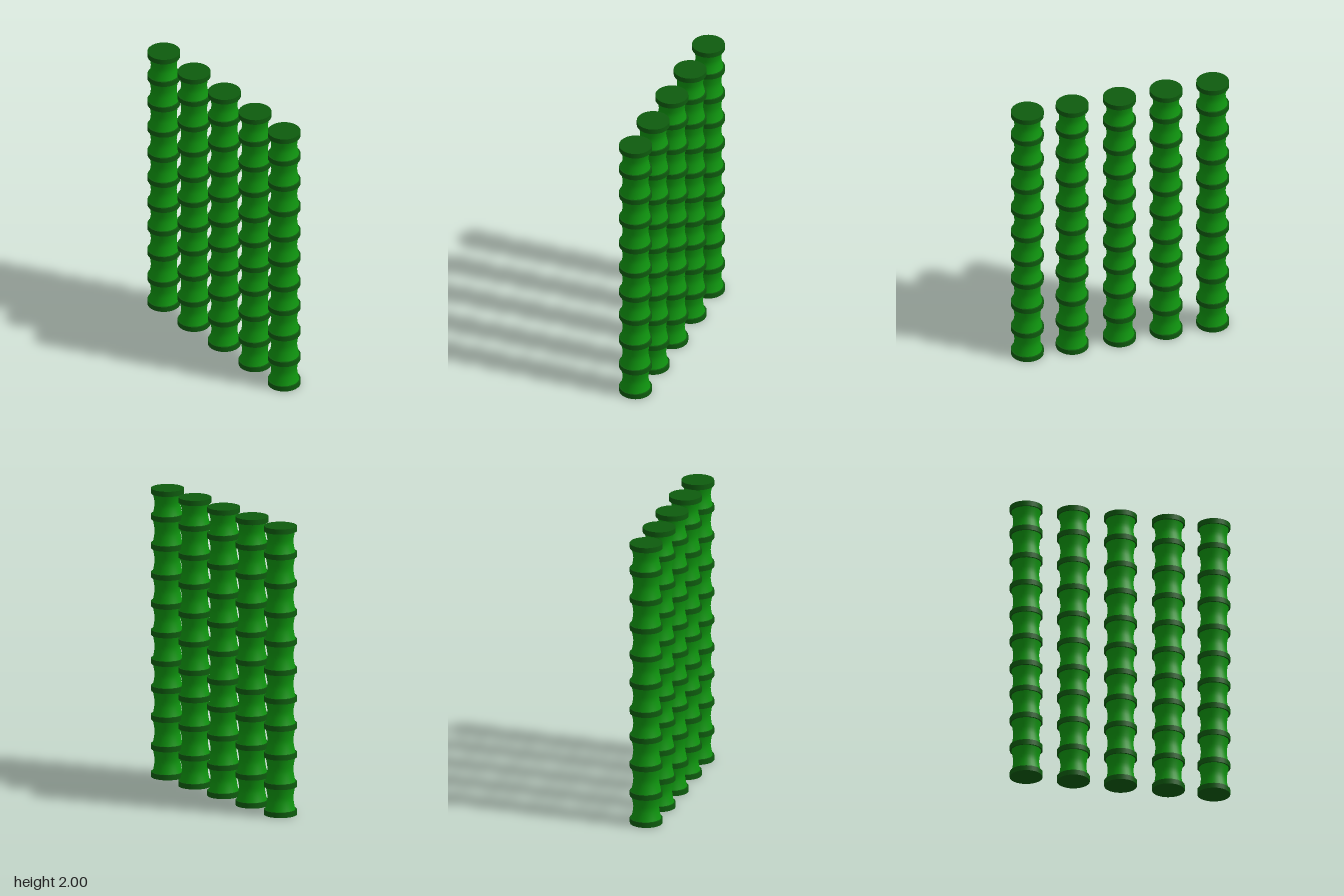
import * as THREE from 'three';

const SIDES = 32;
const RING_R = 0.111, RING_H = 0.036;
const END_R = 0.105, WAIST_R = 0.087;

const stalkXs = [-0.647, -0.322, 0.003, 0.332, 0.645];
const ringYs = [0.018, 0.212, 0.416, 0.616, 0.804, 1.002, 1.2, 1.401, 1.602, 1.804, 1.982];

// Waisted section of cane between two heights
function segmentGeometry(y0, y1) {
  const points = [];
  const steps = 10;
  for (let i = 0; i <= steps; i++) {
    const t = i / steps;
    const bulge = Math.pow(Math.abs(2 * t - 1), 1.5);
    points.push(new THREE.Vector2(WAIST_R + (END_R - WAIST_R) * bulge, y0 + (y1 - y0) * t));
  }
  return new THREE.LatheGeometry(points, SIDES);
}

export function createModel() {
  const model = new THREE.Group();
  model.name = 'bambooFence';

  const caneMaterial = new THREE.MeshStandardMaterial({ color: 0x0f960f });
  const ringMaterial = new THREE.MeshStandardMaterial({ color: 0x0e5c0e });

  // Shared geometries
  const ringGeometry = new THREE.CylinderGeometry(RING_R, RING_R, RING_H, SIDES);
  const segments = ringYs.slice(1).map((y, i) => segmentGeometry(ringYs[i], y));

  for (const x of stalkXs) {
    const stalk = new THREE.Group();
    stalk.name = 'stalk';
    stalk.position.x = x;

    // Canes
    for (const geometry of segments) {
      const cane = new THREE.Mesh(geometry, caneMaterial);
      cane.name = 'caneSegment';
      stalk.add(cane);
    }

    // Node rings, including the closed caps at both ends
    for (const y of ringYs) {
      const ring = new THREE.Mesh(ringGeometry, ringMaterial);
      ring.name = 'nodeRing';
      ring.position.y = y;
      stalk.add(ring);
    }
    model.add(stalk);
  }
  return model;
}
